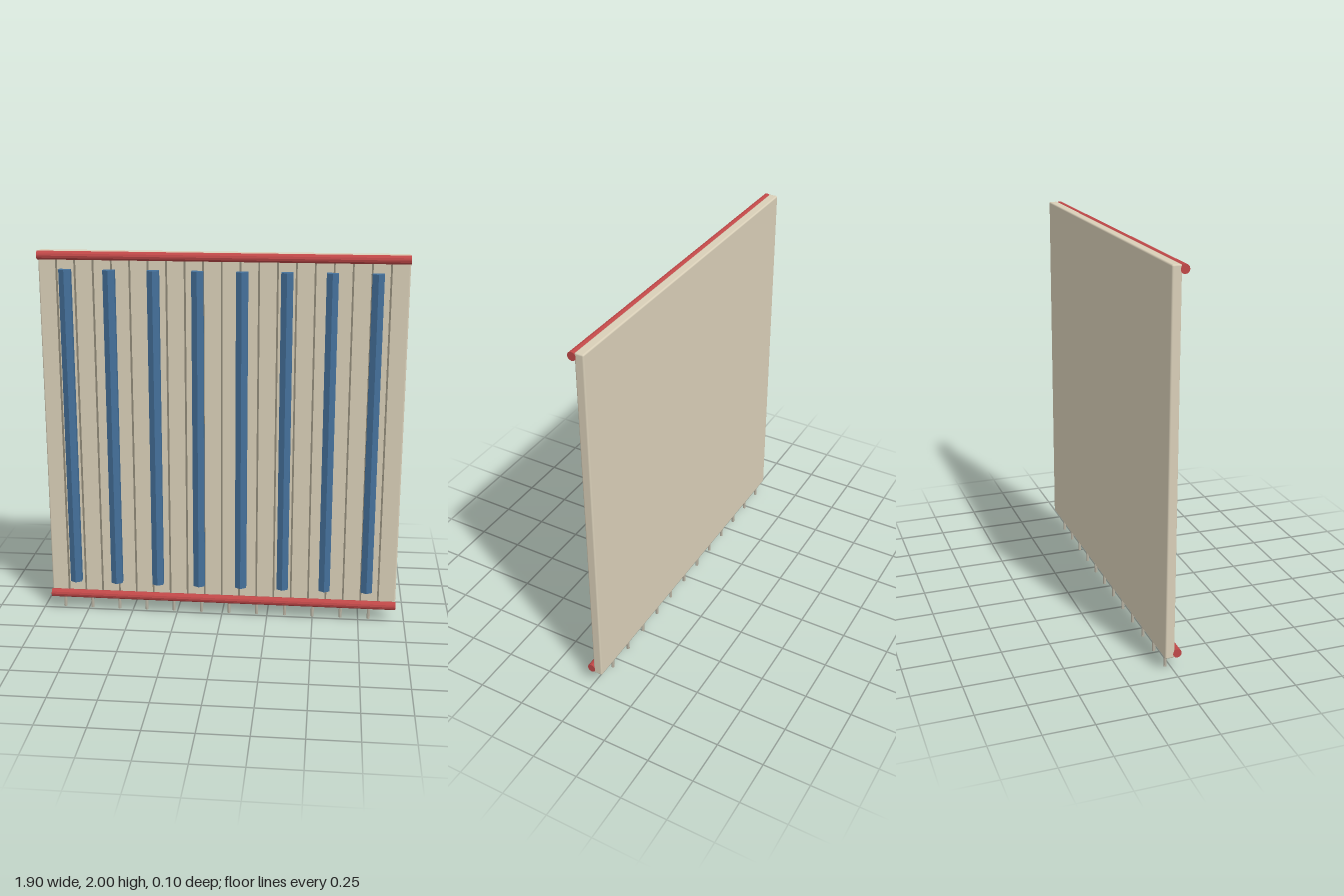
import * as THREE from 'three';
import { RoundedBoxGeometry } from 'three/addons/geometries/RoundedBoxGeometry.js';

const paint = (color, flatShading = false) => new THREE.MeshStandardMaterial({ color, flatShading });

export function createModel() {
  const model = new THREE.Group();
  const cream = paint(0xd9cfb8);
  const red = paint(0xc04848, true);
  const blue = paint(0x44709a, true);
  const seamGrey = paint(0x8f8977);
  const pegGrey = paint(0xb8b2a2, true);

  const add = (name, geometry, material, x, y, z) => {
    const mesh = new THREE.Mesh(geometry, material);
    mesh.name = name;
    mesh.position.set(x, y, z);
    model.add(mesh);
    return mesh;
  };

  // Large backing panel with softened edges
  add('panel', new RoundedBoxGeometry(1.9, 1.925, 0.048, 2, 0.008), cream, 0, 1.0375, -0.024);

  // Narrow vertical seams dividing the front into twenty boards
  const seam = new THREE.BoxGeometry(0.009, 1.87, 0.008);
  for (let i = 1; i < 20; i++) add('seam', seam, seamGrey, -0.95 + i * 0.095, 1.0375, 0.001);

  // Horizontal rails at top and bottom
  const rail = new THREE.CylinderGeometry(0.0225, 0.0225, 1.9, 12).rotateZ(Math.PI / 2);
  add('topRail', rail, red, 0, 1.9775, 0.014);
  add('bottomRail', rail, red, 0, 0.0975, 0.014);

  // Hexagonal bars, one corner forward, half sunk in the panel
  const bar = new THREE.CylinderGeometry(0.035, 0.035, 1.73, 6);
  for (let i = 0; i < 8; i++) add('verticalBar', bar, blue, -0.808 + i * 0.2283, 1.0415, 0.014);

  // Row of small pegs below the panel
  const peg = new THREE.CylinderGeometry(0.0085, 0.0085, 0.063, 8);
  for (let i = 0; i < 12; i++) add('peg', peg, pegGrey, -0.886 + i * 0.154, 0.0315, -0.024);

  return model;
}
